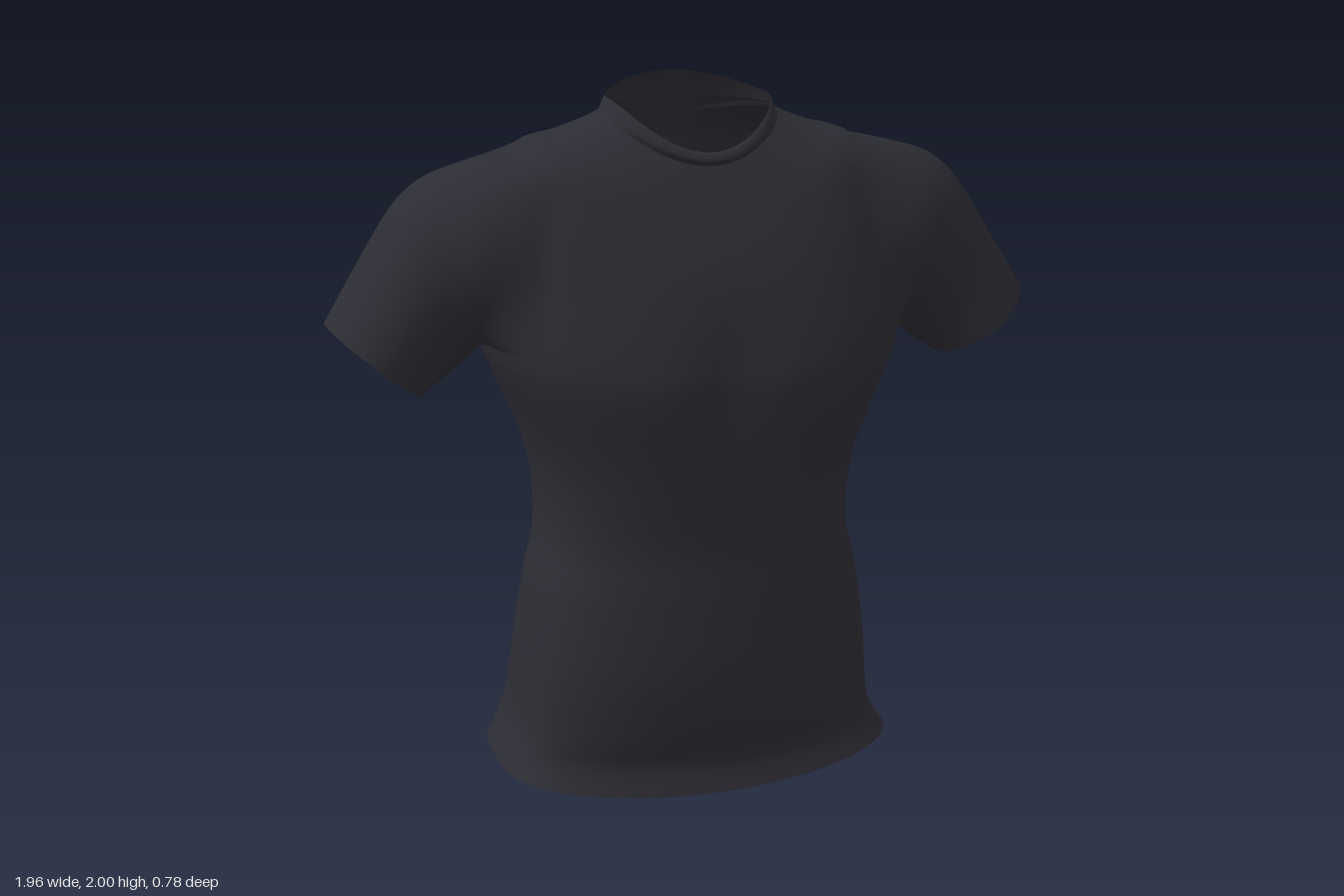
import * as THREE from 'three';

const N = 96;      // columns around the body
const SUB = 4;     // smooth steps between key rings
const HALF = 9;    // half width of an armhole, in columns

// Tilted rings: front y, side y, back y, half width, front z, back z
const HEM = [
  [0.09, 0.13, -0.01, 0.568, 0.338, -0.37],
  [0.17, 0.19, 0.16, 0.53, 0.317, -0.4],
];
const YOKE = [
  [1.62, 1.68, 1.66, 0.53, 0.287, -0.34],
  [1.71, 1.832, 1.79, 0.46, 0.238, -0.292],
  [1.755, 1.868, 1.85, 0.36, 0.217, -0.252],
  [1.785, 1.9, 1.89, 0.275, 0.203, -0.218],
  [1.805, 1.925, 1.925, 0.225, 0.193, -0.195],
];
const COLLAR = [
  [1.797, 1.91, 1.88, 0.242, 0.202, -0.222],
  [1.81, 1.922, 1.905, 0.235, 0.217, -0.216],
  [1.826, 1.945, 1.96, 0.226, 0.21, -0.19],
  [1.832, 1.955, 2.0, 0.22, 0.2, -0.168],
];
// Level rings: y, half width, front z, back z
const TRUNK = [
  [0.27, 0.505, 0.34, -0.378],
  [0.45, 0.487, 0.363, -0.305],
  [0.65, 0.458, 0.358, -0.25],
  [0.80, 0.425, 0.352, -0.265],
  [1.00, 0.44, 0.378, -0.313],
  [1.22, 0.525, 0.408, -0.346],
  [1.335, 0.565, 0.392, -0.358],
  [1.50, 0.555, 0.34, -0.372],
];
const BODY = [...HEM, ...TRUNK.map(([y, w, zf, zb]) => [y, y, y, w, zf, zb]), ...YOKE];
const LOW = 8 * SUB, HIGH = 11 * SUB; // armhole rows

// Sleeve rings: top x, top y, bottom x, bottom y, front z, back z
const SLEEVE = [
  [0.60, 1.803, 0.595, 1.318, 0.212, -0.26],
  [0.71, 1.765, 0.62, 1.29, 0.187, -0.24],
  [0.79, 1.695, 0.655, 1.26, 0.17, -0.232],
  [0.885, 1.55, 0.70, 1.228, 0.165, -0.225],
  [0.98, 1.40, 0.74, 1.20, 0.17, -0.205],
];

// Catmull-Rom between rows of numbers
function smoothRows(rows) {
  const out = [];
  const last = rows.length - 1;
  for (let i = 0; i < last; i++) {
    const [a, b, c, d] = [rows[Math.max(i - 1, 0)], rows[i], rows[i + 1], rows[Math.min(i + 2, last)]];
    for (let s = 0; s < SUB; s++) {
      const t = s / SUB;
      out.push(b.map((v, k) => v + 0.5 * t * (c[k] - a[k]
        + t * (2 * a[k] - 5 * v + 4 * c[k] - d[k] + t * (3 * (v - c[k]) + d[k] - a[k])))));
    }
  }
  out.push(rows[last]);
  return out;
}

const bump = (v, centre, width) => Math.exp(-(((v - centre) / width) ** 2));

function ringPoint([yf, ys, yb, w, zf, zb], j) {
  const a = (j / N) * Math.PI * 2;
  const s = Math.sin(a), c = Math.cos(a);
  const x = w * s;
  const neck = THREE.MathUtils.clamp((ys - 1.82) / 0.09, 0, 1); // rounder towards the neck
  const depth = Math.pow(Math.abs(c), THREE.MathUtils.lerp(c > 0 ? 0.6 : 0.52, 0.95, neck));
  const spine = (0.07 - 0.045 * bump(ys, 0.7, 0.2)) * (1 - neck);
  const chest = 0.03 * bump(ys, 1.25, 0.17);
  const spread = 0.085 + 0.045 * THREE.MathUtils.smoothstep(ys, 0.4, 1.0);
  const z = c > 0
    ? zf * depth - chest * bump(x, 0, 0.12)
    : zb * depth + spine * bump(x, 0, spread);
  let y = ys + (c > 0 ? yf - ys : yb - ys) * c * c;
  if (c < 0) y += 0.06 * bump(x, 0, 0.085) * bump(ys, 0.13, 0.05); // notch in the back hem
  return [x, y, z];
}

// Quads between two equal closed loops of vertex indices
function bridge(index, lower, upper, skip = () => false) {
  const n = lower.length;
  for (let j = 0; j < n; j++) {
    if (skip(j)) continue;
    const k = (j + 1) % n;
    index.push(lower[j], lower[k], upper[k], lower[j], upper[k], upper[j]);
  }
}

function addRings(points, rows) {
  return rows.map((row) => Array.from({ length: N }, (_, j) => points.push(ringPoint(row, j)) - 1));
}

function makeGeometry(points, index) {
  const g = new THREE.BufferGeometry();
  g.setAttribute('position', new THREE.Float32BufferAttribute(points.flat(), 3));
  g.setIndex(index);
  g.computeVertexNormals();
  return g;
}

export function createModel() {
  const cloth = new THREE.MeshStandardMaterial({ color: 0x2c2c34, side: THREE.DoubleSide });
  cloth.name = 'charcoal cloth';
  const group = new THREE.Group();
  group.name = 'shirt';
  const add = (name, geometry) => {
    const mesh = new THREE.Mesh(geometry, cloth);
    mesh.name = name;
    group.add(mesh);
  };

  // Torso, with an armhole left open on each side
  const points = [];
  const rings = addRings(points, smoothRows(BODY));
  const centres = [N / 4, (3 * N) / 4];
  const torso = [];
  for (let i = 0; i < rings.length - 1; i++) {
    bridge(torso, rings[i], rings[i + 1], (j) => i >= LOW && i < HIGH
      && centres.some((m) => j >= m - HALF && j < m + HALF));
  }

  // Sleeves grow out of the armhole edges
  const sleeves = centres.map((m, side) => {
    const sign = side ? -1 : 1;
    const edge = [];
    for (let j = m - HALF; j < m + HALF; j++) edge.push(rings[LOW][j]);
    for (let i = LOW; i < HIGH; i++) edge.push(rings[i][m + HALF]);
    for (let j = m + HALF; j > m - HALF; j--) edge.push(rings[HIGH][j]);
    for (let i = HIGH; i > LOW; i--) edge.push(rings[i][m - HALF]);

    const paths = edge.map((v) => {
      const angle = Math.atan2((points[v][2] + 0.015) / 0.25, (points[v][1] - 1.575) / 0.25);
      const c = Math.cos(angle), s = Math.sin(angle);
      return smoothRows([points[v], ...SLEEVE.map(([tx, ty, bx, by, zf, zb]) => [
        sign * ((tx + bx) / 2 + ((tx - bx) / 2) * c),
        (ty + by) / 2 + ((ty - by) / 2) * c,
        (zf + zb) / 2 + ((zf - zb) / 2) * s,
      ])]);
    });
    const index = [];
    let previous = edge;
    for (let k = 1; k < paths[0].length; k++) {
      const loop = paths.map((path) => points.push(path[k]) - 1);
      bridge(index, previous, loop);
      previous = loop;
    }
    return index;
  });

  // Shared normals keep the shoulder joins smooth
  const whole = makeGeometry(points, [...torso, ...sleeves[0], ...sleeves[1]]);
  const part = (index) => {
    const g = new THREE.BufferGeometry();
    g.setAttribute('position', whole.attributes.position);
    g.setAttribute('normal', whole.attributes.normal);
    g.setIndex(index);
    return g;
  };
  add('torso', part(torso));
  add('leftSleeve', part(sleeves[0]));
  add('rightSleeve', part(sleeves[1]));

  // Raised collar band
  const collarPoints = [];
  const collarRings = addRings(collarPoints, smoothRows(COLLAR));
  const collar = [];
  for (let i = 0; i < collarRings.length - 1; i++) bridge(collar, collarRings[i], collarRings[i + 1]);
  add('collar', makeGeometry(collarPoints, collar));

  return group;
}
